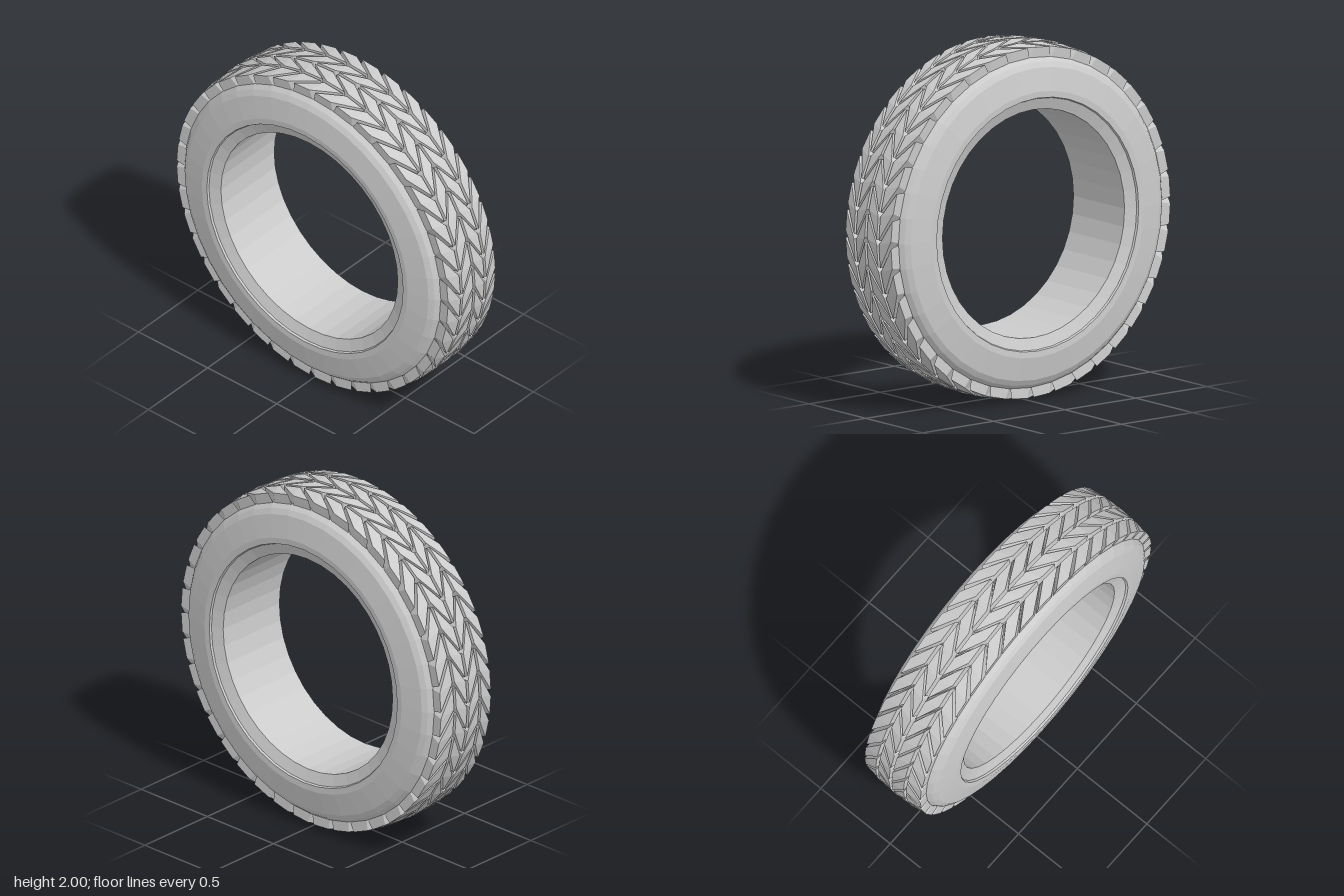
import * as THREE from 'three';

const SEGMENTS = 40; // facets and tread pitches around the tyre
const PITCH = (Math.PI * 2) / SEGMENTS;
const SKEW = 0.155; // how far the slanted blocks lead at x = +-0.1

const material = new THREE.MeshStandardMaterial({ color: 0xcccccc, flatShading: true });

// Closed ring profile [radius, axial position], mirrored and turned around the axle
function carcass() {
  const half = [
    [0.64, 0.225], [0.705, 0.25], [0.71, 0.262], [0.745, 0.264],
    [0.875, 0.24], [0.905, 0.222], [0.925, 0.198], [0.938, 0.1], [0.945, 0],
  ];
  const profile = [
    ...half.map(([r, a]) => [r, -a]),
    ...half.slice(0, -1).reverse(),
    [half[0][0], -half[0][1]],
  ].map(([r, a]) => new THREE.Vector2(r, a));
  const geometry = new THREE.LatheGeometry(profile, SEGMENTS);
  geometry.rotateZ(-Math.PI / 2);
  return geometry;
}

// Radius of the tread surface and of the groove floor across the width
const crown = (x) => 1 - 0.45 * x * x;
const floor = (x) => 0.938 - 0.6 * x * x;
// Angular lead of the W-shaped chevron: zero at the middle and shoulders
const lead = (x) => SKEW * (1 - Math.abs(Math.abs(x) - 0.1) / 0.1);

// One row of slanted blocks between x0 and x1
function treadRow(x0, x1) {
  const positions = [];
  const index = [];
  const rising = lead(x1) > lead(x0);
  for (let i = 0; i < SEGMENTS; i++) {
    const base = positions.length / 3;
    for (const top of [0, 1]) {
      for (const end of [0, 1]) {
        for (const x of [x0, x1]) {
          const shoulder = Math.abs(x) > 0.15;
          // blocks narrow towards the top; grooves open at the shoulder
          const gap = top ? (shoulder ? 0.021 : 0.014) : 0.003;
          const angle = i * PITCH + lead(x) + (end ? PITCH - gap : gap);
          const inset = top && !shoulder ? 0.009 : 0.002;
          const px = shoulder ? x * (top ? 1 : 0.97) : x + (x === x0 ? inset : -inset);
          const r = top ? crown(x) : floor(x);
          positions.push(px, r * Math.cos(angle), r * Math.sin(angle));
        }
      }
    }
    const faces = [
      ...(rising ? [4, 6, 5, 6, 7, 5] : [4, 6, 7, 4, 7, 5]), // top
      0, 4, 5, 0, 5, 1, 2, 3, 7, 2, 7, 6, // groove flanks
      1, 5, 7, 1, 7, 3, 0, 2, 6, 0, 6, 4, // row sides
    ];
    index.push(...faces.map((f) => f + base));
  }
  const geometry = new THREE.BufferGeometry();
  geometry.setAttribute('position', new THREE.Float32BufferAttribute(positions, 3));
  geometry.setIndex(index);
  const flat = geometry.toNonIndexed();
  flat.computeVertexNormals();
  return flat;
}

export function createModel() {
  const tyre = new THREE.Group();
  tyre.name = 'tyre';

  const add = (name, geometry) => {
    const mesh = new THREE.Mesh(geometry, material);
    mesh.name = name;
    tyre.add(mesh);
  };

  add('carcass', carcass());
  add('rightShoulderTread', treadRow(-0.2, -0.1));
  add('rightCentreTread', treadRow(-0.1, 0));
  add('leftCentreTread', treadRow(0, 0.1));
  add('leftShoulderTread', treadRow(0.1, 0.2));

  // Stand the tyre on the ground
  tyre.position.y = 1;
  const model = new THREE.Group();
  model.name = 'tyreModel';
  model.add(tyre);
  return model;
}
